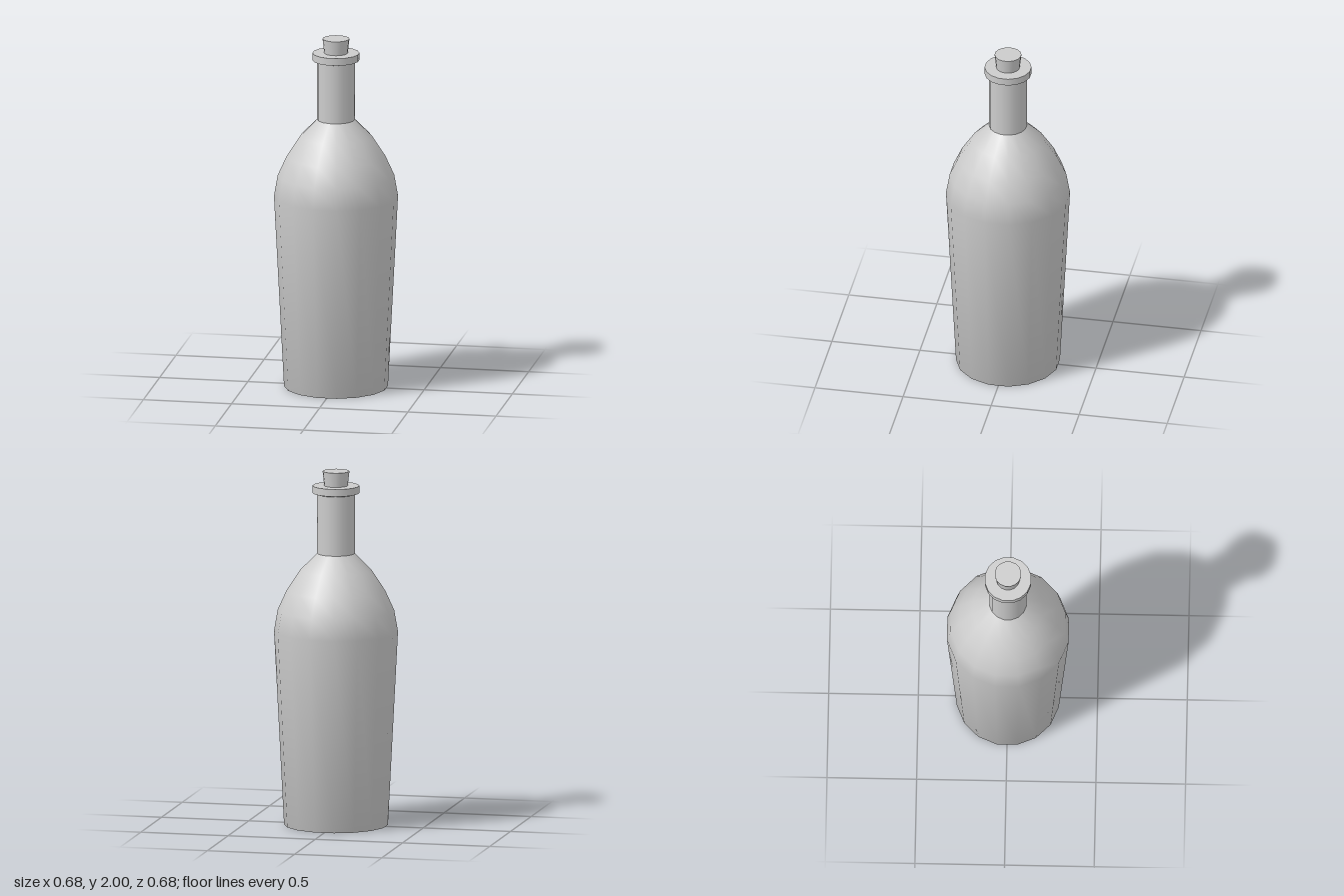
import * as THREE from 'three';
import { mergeGeometries } from 'three/addons/utils/BufferGeometryUtils.js';

const SIDES = 16;

// Each profile is a smooth [radius, height] run; separate runs meet in a sharp edge.
function turned(name, material, ...profiles) {
  const parts = profiles.map((profile) => new THREE.LatheGeometry(
    profile.map(([r, y]) => new THREE.Vector2(r, y)), SIDES, Math.PI / SIDES));
  const mesh = new THREE.Mesh(mergeGeometries(parts), material);
  mesh.name = name;
  return mesh;
}

export function createModel() {
  const group = new THREE.Group();
  group.name = 'bottle';
  const grey = new THREE.MeshStandardMaterial({ color: 0xcccccc });
  grey.name = 'plain grey';

  // Tapered body with rounded shoulders, smooth into its base
  group.add(turned('body', grey, [
    [0, 0], [0.29, 0], [0.346, 1.095], [0.325, 1.215],
    [0.275, 1.325], [0.2, 1.44], [0.105, 1.535],
  ]));

  // Straight neck
  group.add(turned('neck', grey, [[0.105, 1.535], [0.105, 1.872]]));

  // Lip: sloped underside, upright rim, flat top
  group.add(turned('lip', grey,
    [[0.105, 1.87], [0.131, 1.877]],
    [[0.131, 1.877], [0.131, 1.918]],
    [[0.131, 1.918], [0.06, 1.918]]));

  // Stopper, widening upwards
  group.add(turned('stopper', grey,
    [[0.065, 1.91], [0.075, 2]],
    [[0.075, 2], [0, 2]]));

  return group;
}
